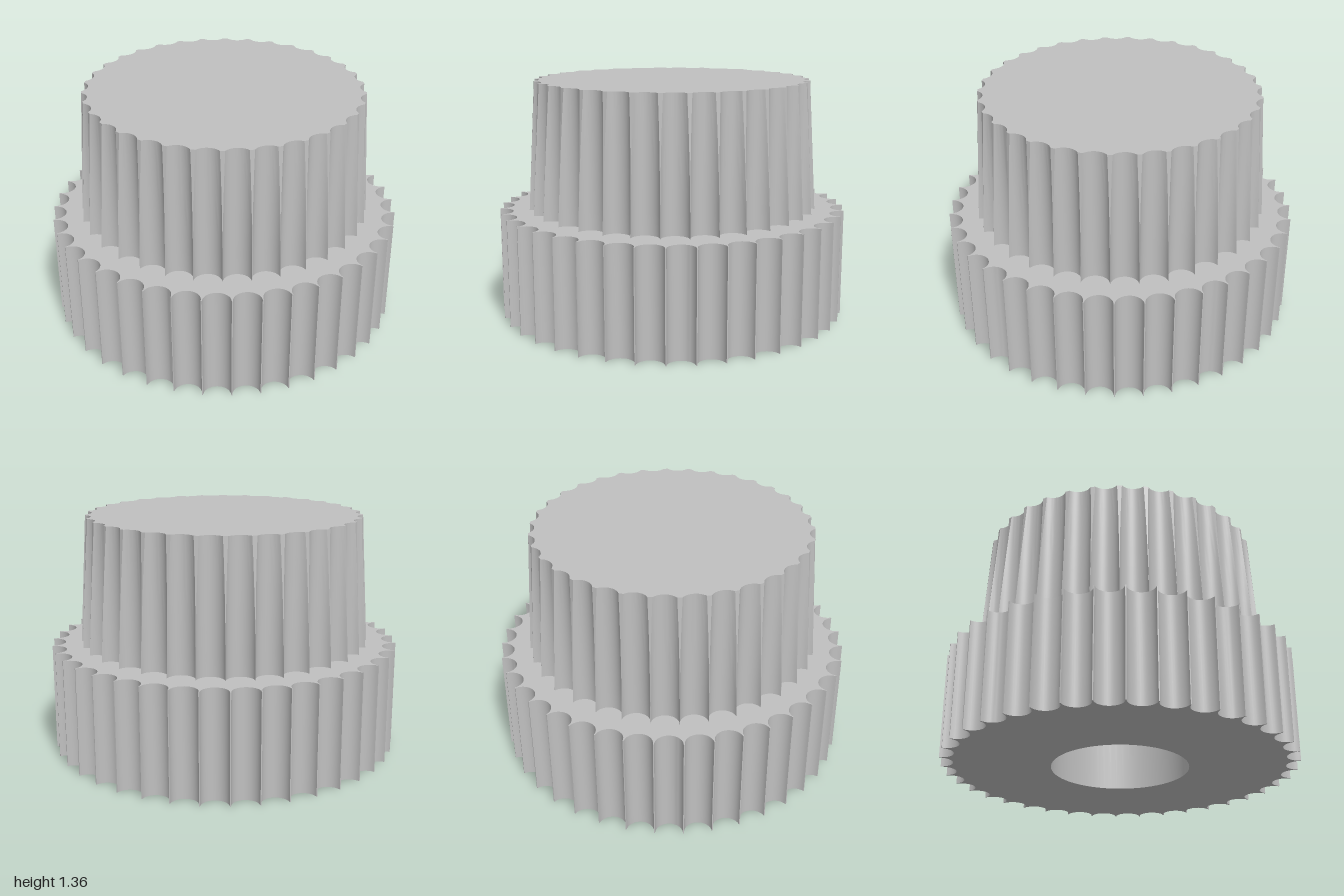
import * as THREE from 'three';
import { toCreasedNormals } from 'three/addons/utils/BufferGeometryUtils.js';

const ARC = 18; // segments across each flute

// Outline of a disc of radius r, notched by `count` round flutes
// (flute centres at radius c, flute radius s). Returns [x, z] points.
function flutedOutline(count, r, c, s) {
  const points = [];
  const limit = Math.acos((c * c + s * s - r * r) / (2 * c * s));
  for (let i = 0; i < count; i++) {
    const a = (i / count) * Math.PI * 2;
    const cos = Math.cos(a), sin = Math.sin(a);
    for (let j = 0; j <= ARC; j++) {
      const t = limit * ((2 * j) / ARC - 1);
      const u = c - s * Math.cos(t), v = s * Math.sin(t);
      points.push([u * cos - v * sin, u * sin + v * cos]);
    }
  }
  return points;
}

// Wall lofted through outlines at the given heights
function flutedWall(outlines, heights) {
  const pos = [];
  for (let k = 0; k < heights.length - 1; k++) {
    const low = outlines[k], up = outlines[k + 1];
    for (let i = 0; i < low.length; i++) {
      const n = (i + 1) % low.length;
      const a = [low[i][0], heights[k], low[i][1]];
      const b = [low[n][0], heights[k], low[n][1]];
      const c = [up[n][0], heights[k + 1], up[n][1]];
      const d = [up[i][0], heights[k + 1], up[i][1]];
      pos.push(...a, ...d, ...c, ...a, ...c, ...b);
    }
  }
  const geo = new THREE.BufferGeometry();
  geo.setAttribute('position', new THREE.Float32BufferAttribute(pos, 3));
  return toCreasedNormals(geo, 0.6);
}

// Flat cap, facing up or down, with an optional round hole
function cap(outline, y, up, holeRadius = 0) {
  const shape = new THREE.Shape(outline.map(([x, z]) => new THREE.Vector2(x, up ? -z : z)));
  if (holeRadius) shape.holes.push(new THREE.Path().absarc(0, 0, holeRadius, 0, Math.PI * 2, true));
  return new THREE.ShapeGeometry(shape, 32)
    .rotateX(up ? -Math.PI / 2 : Math.PI / 2)
    .translate(0, y, 0);
}

export function createModel() {
  const model = new THREE.Group();
  model.name = 'flutedKnob';
  const grey = new THREE.MeshStandardMaterial({ color: 0xc0c0c0 });
  grey.name = 'grey';
  const add = (name, geometry) => {
    const mesh = new THREE.Mesh(geometry, grey);
    mesh.name = name;
    model.add(mesh);
  };

  const baseTop = 0.615, gripTop = 1.355, bore = 0.388, boreDepth = 0.9;

  // Wide fluted base
  const base = flutedOutline(40, 1.003, 1.003, 0.076);
  add('baseWall', flutedWall([base, base], [0, baseTop]));
  add('baseTop', cap(base, baseTop, true));
  add('baseUnderside', cap(base, 0, false, bore));

  // Tapered grip with upright flutes, so its ridges widen towards the top
  const heights = [], outlines = [];
  for (let k = 0; k <= 6; k++) {
    const t = k / 6;
    heights.push(THREE.MathUtils.lerp(baseTop, gripTop, t));
    outlines.push(flutedOutline(34, THREE.MathUtils.lerp(0.836, 0.79, t), 0.836, 0.077));
  }
  add('gripWall', flutedWall(outlines, heights));
  add('gripTop', cap(outlines[6], gripTop, true));

  // Blind bore from below
  const profile = [[0, boreDepth], [bore, boreDepth], [bore, 0]].map(([x, y]) => new THREE.Vector2(x, y));
  add('bore', toCreasedNormals(new THREE.LatheGeometry(profile, 64), 0.6));

  return model;
}
